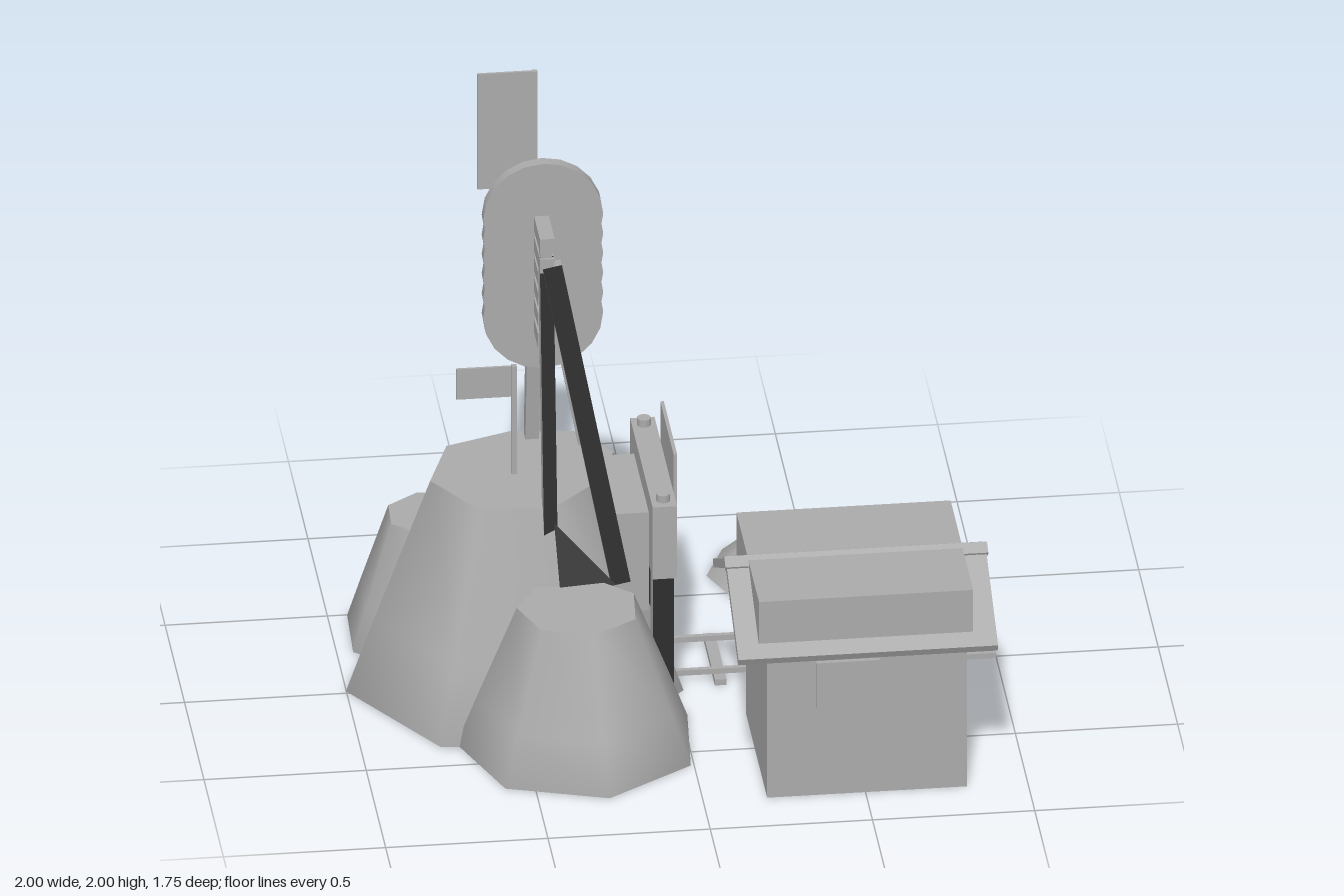
import * as THREE from 'three';

const stone = new THREE.MeshStandardMaterial({ color: 0xaaaaaa });
stone.name = 'grey';
const dark = new THREE.MeshStandardMaterial({ color: 0x2e2e2e });
dark.name = 'dark';

// Box materials with some faces dark (order: +x -x +y -y +z -z)
const darkFaces = (...faces) => Array.from({ length: 6 }, (_, i) => (faces.includes(i) ? dark : stone));
const darkBase = darkFaces(3);

const AXIS_Z = -0.06; // centre line of track, portal and headframe

export function createModel() {
  const model = new THREE.Group();
  model.name = 'mine';

  const add = (name, geometry, parent = model, material = stone) => {
    const mesh = new THREE.Mesh(geometry, material);
    mesh.name = name;
    parent.add(mesh);
    return mesh;
  };
  const group = (name) => {
    const g = new THREE.Group();
    g.name = name;
    model.add(g);
    return g;
  };
  // Box given by its limits on each axis
  const box = (name, [x0, x1], [y0, y1], [z0, z1], parent, material) => {
    const mesh = add(name, new THREE.BoxGeometry(x1 - x0, y1 - y0, z1 - z0), parent, material);
    mesh.position.set((x0 + x1) / 2, (y0 + y1) / 2, (z0 + z1) / 2);
    return mesh;
  };
  // Square timber between two points
  const timber = (name, a, b, w, d, parent, material) => {
    const from = new THREE.Vector3(...a), to = new THREE.Vector3(...b);
    const dir = to.clone().sub(from);
    const mesh = add(name, new THREE.BoxGeometry(w, dir.length(), d), parent, material);
    mesh.position.copy(from).add(to).multiplyScalar(0.5);
    mesh.quaternion.setFromUnitVectors(new THREE.Vector3(0, 1, 0), dir.normalize());
    return mesh;
  };
  // Smooth faceted mound turned from a profile of [radius, height] points
  const turned = (name, profile, sides, turn, parent) =>
    add(name, new THREE.LatheGeometry(profile.map((p) => new THREE.Vector2(...p)), sides, turn), parent);
  // Flat polygon facing up or down
  const disc = (name, r, sides, turn, up, parent, material) => {
    const geometry = new THREE.CircleGeometry(r, sides, turn - Math.PI / 2).rotateX(-Math.PI / 2);
    if (!up) geometry.scale(1, -1, 1).index.array.reverse();
    geometry.computeVertexNormals();
    return add(name, geometry, parent, material);
  };

  // Rock mounds: x, z, base radius, top radius, height, turn
  const rocks = group('rocks');
  [
    [-0.475, -0.07, 0.53, 0.265, 0.7, -1.459],
    [-0.333, 0.397, 0.375, 0.19, 0.47, 0.138],
    [-0.308, -0.517, 0.37, 0.195, 0.495, 1.66],
    [-0.697, -0.367, 0.275, 0.14, 0.41, -2.96],
  ].forEach(([x, z, rb, rt, h, turn]) => {
    const mound = new THREE.Group();
    mound.name = 'mound';
    mound.position.set(x, 0, z);
    rocks.add(mound);
    const rm = rb + (rt - rb) * 0.33;
    turned('moundSides', [[rb * 0.9, 0.004], [rb, 0.001], [rm, h * 0.34], [rt, h]], 7, turn, mound);
    disc('moundTop', rt, 7, turn, true, mound).position.y = h;
    disc('moundBase', rb, 7, turn, false, mound, dark);
  });

  // Heaps of ore
  const heap = (name, r, h, sides, x, y, z, parent) => {
    turned(name, [[r * 0.9, 0.004], [r, 0.001], [r * 0.36, h * 0.86], [0, h]], sides, 0, parent).position.set(x, y, z);
    disc(name + 'Base', r, sides, 0, false, parent, dark).position.set(x, y, z);
  };
  heap('orePile', 0.23, 0.16, 8, 0.412, 0, -0.617);

  // Track
  const track = group('track');
  for (const z of [-0.172, 0.04]) box('rail', [0, 0.995], [0.02, 0.038], [z - 0.008, z + 0.008], track, darkBase);
  for (let i = 0; i < 5; i++) {
    const x = 0.142 + i * 0.145;
    box('sleeper', [x - 0.018, x + 0.018], [0, 0.02], [-0.215, 0.085], track, darkBase);
  }

  // Ore cart
  const cart = group('cart');
  box('cartBody', [0.482, 0.75], [0.06, 0.195], [-0.17, 0.05], cart, darkBase);
  heap('cartLoad', 0.11, 0.083, 7, 0.617, 0.197, AXIS_Z - 0.01, cart);
  for (const x of [0.56, 0.7]) {
    for (const side of [-1, 1]) {
      const wheel = add('cartWheel', new THREE.CylinderGeometry(0.036, 0.036, 0.025, 10), cart);
      wheel.rotation.x = Math.PI / 2;
      wheel.position.set(x, 0.058, AXIS_Z + side * 0.117);
    }
  }

  // Tunnel portal
  const portal = group('portal');
  box('lintel', [-0.085, -0.01], [0.46, 0.71], [-0.35, 0.23], portal, darkBase);
  box('portalRoof', [-0.195, -0.085], [0.3, 0.64], [-0.25, 0.13], portal);
  box('tunnelMouth', [-0.025, -0.018], [0.002, 0.46], [-0.25, 0.13], portal, dark);
  box('signBoard', [-0.006, 0.005], [0.575, 0.825], [-0.235, 0.11], portal);
  for (const side of [-1, 1]) {
    const z = AXIS_Z + side * 0.22;
    box('portalPost', [-0.08, -0.015], [0, 0.46], [z - 0.032, z + 0.032], portal, darkFaces(3, 4, 5));
    const bolt = add('bolt', new THREE.CylinderGeometry(0.022, 0.022, 0.025, 10), portal);
    bolt.position.set(-0.048, 0.722, AXIS_Z + side * 0.245);
  }

  // Headframe legs, dark on their outer sides
  const frame = group('headframe');
  for (const side of [-1, 1]) {
    const z = (offset) => AXIS_Z + side * offset;
    const legFaces = darkFaces(side > 0 ? 4 : 5);
    timber('uprightLeg', [-0.396, 0.45, z(0.262)], [-0.396, 1.53, z(0.135)], 0.042, 0.045, frame, legFaces);
    timber('slantedLeg', [-0.18, 0.44, z(0.25)], [-0.38, 1.5, z(0.15)], 0.06, 0.045, frame, legFaces);
    box('spacer', [-0.415, -0.38], [1.52, 1.555], [z(0.14) - 0.022, z(0.14) + 0.022], frame);
  }
  for (const y of [1.505, 1.575]) box('crossBeam', [-0.418, -0.373], [y - 0.024, y + 0.024], [-0.235, 0.11], frame);
  for (let i = 0; i < 4; i++) {
    const y = 1.22 + i * 0.072;
    box('rung', [-0.418, -0.378], [y - 0.024, y + 0.024], [-0.18, 0.055], frame);
  }

  // Dark plate between the feet of the front legs
  const footPlate = new THREE.BufferGeometry().setFromPoints([
    new THREE.Vector3(-0.385, 0.66, 0.2), new THREE.Vector3(-0.375, 0.46, 0.27), new THREE.Vector3(-0.2, 0.46, 0.25),
  ]);
  footPlate.computeVertexNormals();
  add('footPlate', footPlate, frame, dark);

  // Overlapping winding discs
  for (let i = 0; i < 6; i++) {
    const wheel = add('windingDisc', new THREE.CylinderGeometry(0.185, 0.185, 0.038, 20), frame);
    wheel.rotation.x = Math.PI / 2;
    wheel.position.set(-0.39, 1.255 + i * 0.068, AXIS_Z);
  }

  // Flags
  const flags = group('flags');
  box('tallFlagPole', [-0.4, -0.385], [1.48, 2], [-0.242, -0.228], flags);
  box('tallFlag', [-0.57, -0.4], [1.6, 2], [-0.239, -0.231], flags);
  box('shortFlagPole', [-0.486, -0.47], [0.69, 1.075], [-0.068, -0.052], flags);
  box('shortFlag', [-0.655, -0.486], [0.965, 1.07], [-0.07, -0.062], flags);

  // Shed walls, with a doorway gap beside the door
  const shed = group('shed');
  box('frontWall', [0.197, 0.812], [0, 0.52], [0.77, 0.82], shed, darkBase);
  box('backWall', [0.197, 0.812], [0, 0.52], [0.27, 0.32], shed, darkBase);
  box('leftEndWall', [0.197, 0.24], [0, 0.54], [0.32, 0.77], shed, darkBase);
  box('door', [0.7, 0.735], [0, 0.54], [0.44, 0.655], shed, darkBase);
  box('sidePanel', [0.68, 0.71], [0, 0.54], [0.32, 0.44], shed, darkBase);
  box('frontWindow', [0.347, 0.542], [0.31, 0.465], [0.82, 0.835], shed);
  box('backWindow', [0.347, 0.542], [0.31, 0.465], [0.255, 0.27], shed);
  box('eaveStrip', [0.197, 0.812], [0.485, 0.505], [0.82, 0.826], shed, dark);

  // Gables under the roof
  const gable = new THREE.Shape([[-0.27, 0.5], [0.27, 0.5], [0, 0.655]].map((p) => new THREE.Vector2(...p)));
  const gableGeometry = new THREE.ExtrudeGeometry(gable, { depth: 0.04, bevelEnabled: false }).rotateY(Math.PI / 2);
  for (const x of [0.2, 0.7]) add('gable', gableGeometry, shed).position.set(x, 0, 0.545);

  // Roof slabs, raised block and ridge
  const tilt = Math.atan2(0.17, 0.32);
  for (const side of [-1, 1]) {
    const slab = add('roofSlab', new THREE.BoxGeometry(0.8, 0.028, 0.365), shed);
    slab.position.set(0.502, 0.588, 0.547 + side * 0.162);
    slab.rotation.x = side * tilt;
    const cap = add('ridgeCap', new THREE.BoxGeometry(0.81, 0.016, 0.04), shed);
    cap.position.set(0.502, 0.682, 0.547 + side * 0.015);
    cap.rotation.x = side * tilt;
  }
  box('roofBlock', [0.17, 0.83], [0.545, 0.69], [0.255, 0.835], shed);

  return model;
}
